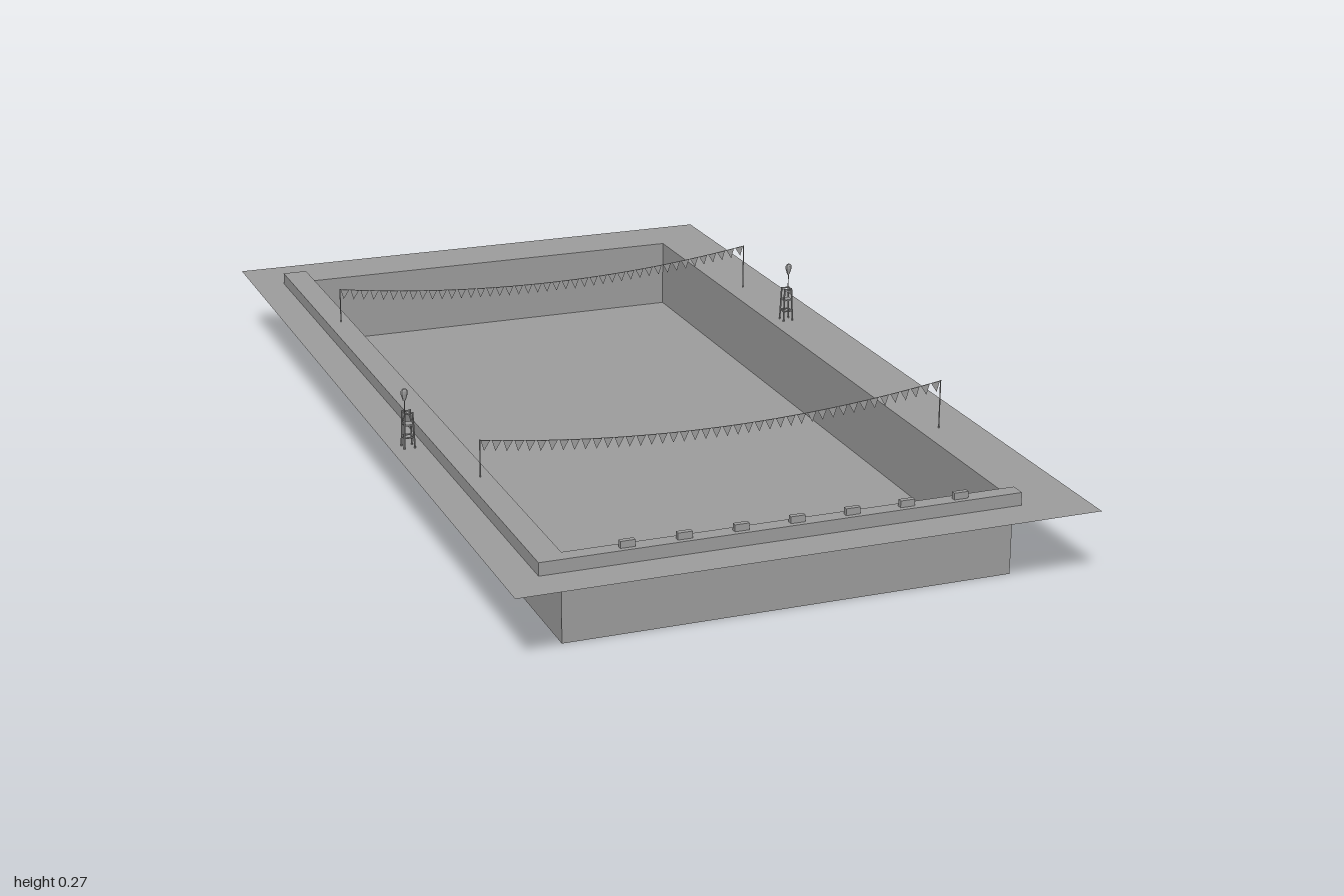
import * as THREE from 'three';

const mat = new THREE.MeshStandardMaterial({ color: 0x9d9d9d, side: THREE.DoubleSide, flatShading: true });

const DECK = 0.148, RIM = 0.173;              // deck height, raised rim height
const X0 = -0.44, X1 = 0.437, Z0 = -0.87, Z1 = 0.892; // basin
const RX = -0.492, RZ = 0.923;                // outer edges of the raised rim

function add(parent, name, geometry, x = 0, y = 0, z = 0) {
  const m = new THREE.Mesh(geometry, mat);
  m.name = name;
  m.position.set(x, y, z);
  parent.add(m);
  return m;
}

// Flat horizontal sheet from [x, z] outlines
function sheet(outline, hole) {
  const pts = (a) => a.map(([x, z]) => new THREE.Vector2(x, -z));
  const s = new THREE.Shape(pts(outline));
  if (hole) s.holes.push(new THREE.Path(pts(hole)));
  return new THREE.ShapeGeometry(s).rotateX(-Math.PI / 2);
}

// Upright wall between two [x, z] points
function wall(parent, name, [ax, az], [bx, bz], y0, y1) {
  const m = add(parent, name, new THREE.PlaneGeometry(Math.hypot(bx - ax, bz - az), y1 - y0),
    (ax + bx) / 2, (y0 + y1) / 2, (az + bz) / 2);
  m.rotation.y = -Math.atan2(bz - az, bx - ax);
}

// Thin rod between two points
function rod(parent, name, a, b, r) {
  const p = new THREE.Vector3(...a), q = new THREE.Vector3(...b);
  const d = q.clone().sub(p);
  const m = add(parent, name, new THREE.CylinderGeometry(r, r, d.length(), 6));
  m.position.copy(p).add(q).multiplyScalar(0.5);
  m.quaternion.setFromUnitVectors(new THREE.Vector3(0, 1, 0), d.normalize());
}

const rect = (x0, z0, x1, z1) => [[x0, z1], [x1, z1], [x1, z0], [x0, z0]];

// Pennant line strung across the pool
function flagLine(z) {
  const g = new THREE.Group();
  g.name = 'flagLine';
  const xa = -0.462, xb = 0.48, n = 43;
  rod(g, 'flagPole', [xa, RIM, z], [xa, 0.247, z], 0.0012);
  rod(g, 'flagPole', [xb, DECK, z], [xb, 0.247, z], 0.0012);
  const ropeY = (x) => 0.21 + 0.036 * ((x - 0.009) / 0.471) ** 2;
  const pts = [];
  for (let i = 0; i <= 16; i++) {
    const x = xa + (xb - xa) * i / 16;
    pts.push(new THREE.Vector3(x, ropeY(x), z));
  }
  add(g, 'rope', new THREE.TubeGeometry(new THREE.CatmullRomCurve3(pts), 48, 0.0005, 4));
  const tri = new THREE.ShapeGeometry(new THREE.Shape([
    new THREE.Vector2(-0.0095, 0), new THREE.Vector2(0, -0.021), new THREE.Vector2(0.0095, 0)]));
  for (let i = 0; i < n; i++) {
    const x = xa + (xb - xa) * (i + 0.5) / n;
    add(g, 'flag', tri, x, ropeY(x), z).rotation.z = Math.atan(2 * 0.036 * (x - 0.009) / 0.471 ** 2);
  }
  return g;
}

// Lifeguard chair looking toward +x, with a float on a pole at the back corner
function guardChair() {
  const g = new THREE.Group();
  g.name = 'guardChair';
  const foot = 0.0105, top = 0.008, h = 0.073, r = 0.0017;
  for (const sx of [-1, 1]) for (const sz of [-1, 1])
    rod(g, 'leg', [sx * foot, 0, sz * foot], [sx * top, h, sz * top], r);
  for (const y of [0.022, 0.071]) {
    const w = foot + (top - foot) * y / h;
    for (const s of [-1, 1]) {
      rod(g, 'sideRail', [-w, y, s * w], [w, y, s * w], r);
      if (y < 0.05 || s < 0) rod(g, 'crossRail', [s * w, y, -w], [s * w, y, w], r);
    }
  }
  add(g, 'seat', new THREE.BoxGeometry(0.019, 0.003, 0.019), 0, 0.047, 0);
  add(g, 'backrest', new THREE.BoxGeometry(0.002, 0.012, 0.017), -0.008, 0.066, 0);
  rod(g, 'floatPole', [-0.0085, 0.047, 0.011], [-0.0085, 0.106, 0.011], 0.001);
  const profile = [[0, 0], [0.003, 0], [0.007, 0.013], [0.007, 0.019], [0.004, 0.023], [0, 0.023]];
  const f = add(g, 'float', new THREE.LatheGeometry(profile.map((p) => new THREE.Vector2(...p)), 8),
    -0.0085, 0.1, 0.011);
  f.scale.z = 0.6;
  return g;
}

export function createModel() {
  const model = new THREE.Group();
  model.name = 'swimmingPool';

  // Deck around the basin
  add(model, 'deck', sheet(rect(-0.56, -1, 0.56, 1), rect(RX, Z0, X1, RZ)), 0, DECK, 0);

  // Basin, open at the top
  add(model, 'basinFloor', sheet(rect(X0, Z0, X1, Z1)));
  wall(model, 'backWall', [X0, Z0], [X1, Z0], 0, DECK);
  wall(model, 'leftWall', [X1, Z0], [X1, Z1], 0, DECK);
  wall(model, 'rightWall', [X0, Z0], [X0, Z1], 0, RIM);
  wall(model, 'frontWall', [X0, Z1], [X1, Z1], 0, RIM);

  // Raised L-shaped rim along the right and front
  add(model, 'rimTop', sheet([[RX, RZ], [X1, RZ], [X1, Z1], [X0, Z1], [X0, Z0], [RX, Z0]]), 0, RIM, 0);
  wall(model, 'rimSide', [RX, Z0], [RX, RZ], DECK, RIM);
  wall(model, 'rimFront', [RX, RZ], [X1, RZ], DECK, RIM);
  wall(model, 'rimEnd', [RX, Z0], [X0, Z0], DECK, RIM);
  wall(model, 'rimEnd', [X1, Z1], [X1, RZ], DECK, RIM);

  // Starting blocks
  for (let i = 0; i < 7; i++)
    add(model, 'startingBlock', new THREE.BoxGeometry(0.028, 0.013, 0.01), -0.325 + i * 0.1073, RIM + 0.0065, 0.908);

  model.add(flagLine(0.505), flagLine(-0.48));

  // Chairs on both long sides, facing the water
  const a = guardChair(), b = guardChair();
  a.position.set(-0.524, DECK, 0.243);
  b.position.set(0.476, DECK, -0.228);
  b.rotation.y = Math.PI;
  model.add(a, b);
  return model;
}
